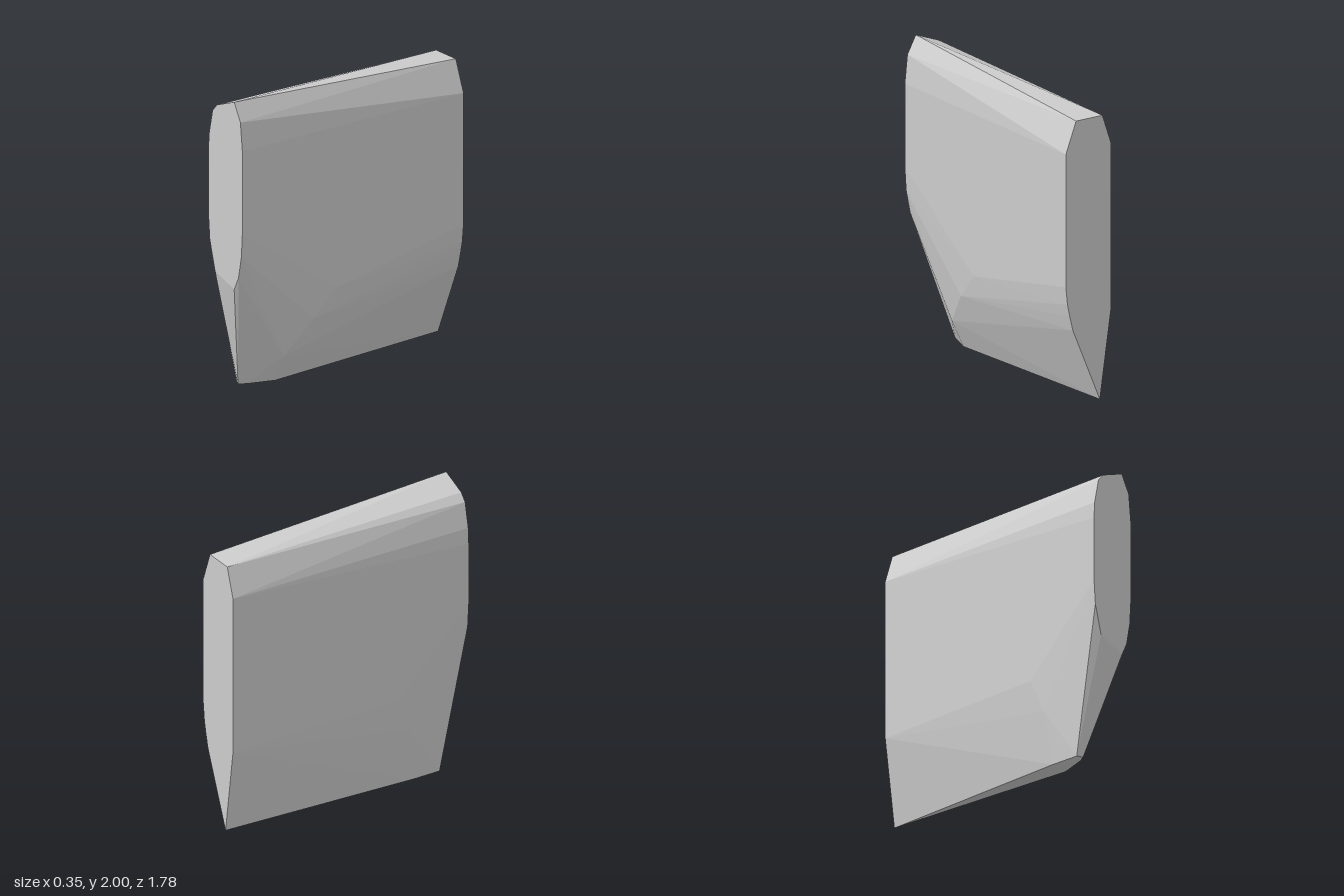
import * as THREE from 'three';
import { ConvexGeometry } from 'three/addons/geometries/ConvexGeometry.js';

export function createModel() {
  const group = new THREE.Group();
  group.name = 'facetedSlab';

  const grey = new THREE.MeshStandardMaterial({ color: 0xcccccc });
  grey.name = 'light grey';

  const END = 0.89;
  const section = (z, outline) => outline.map(([x, y]) => new THREE.Vector3(x, y, z));

  // Front end outline, chamfered at the top and tapered at the bottom
  const front = section(END, [
    [0.09, 2.0], [0.155, 1.88], [0.175, 1.69], [0.175, 1.13], [0.165, 0.97],
    [0.135, 0.82], [0.09, 0.73], [-0.11, 0.8], [-0.165, 1.0], [-0.178, 1.17],
    [-0.178, 1.6], [-0.172, 1.71], [-0.135, 1.88], [-0.09, 1.93],
  ]);

  // Back end outline, lower at the top and drawn down to a point
  const back = section(-END, [
    [0.095, 1.9], [0.175, 1.69], [0.175, 0.8], [0.162, 0.68], [0.145, 0.6],
    [0.12, 0.5], [-0.09, 0], [-0.178, 0.6], [-0.178, 1.7], [-0.11, 1.9],
  ]);

  // Narrow flat foot and the cut corners that rise from it
  const foot = [
    [-0.09, 0, 0.72], [-0.13, 0, 0.7], [-0.06, 0, 0.67], [0, 0, 0.49], [-0.135, 0, 0.5],
    [0.09, 0.19, 0.49], [0.155, 0.42, 0.3], [0.174, 0.6, 0.13],
    [-0.165, 0.38, 0.45], [-0.178, 0.62, 0.35],
  ].map((p) => new THREE.Vector3(...p));

  const body = new THREE.Mesh(new ConvexGeometry([...front, ...back, ...foot]), grey);
  body.name = 'slabBody';
  group.add(body);

  return group;
}
